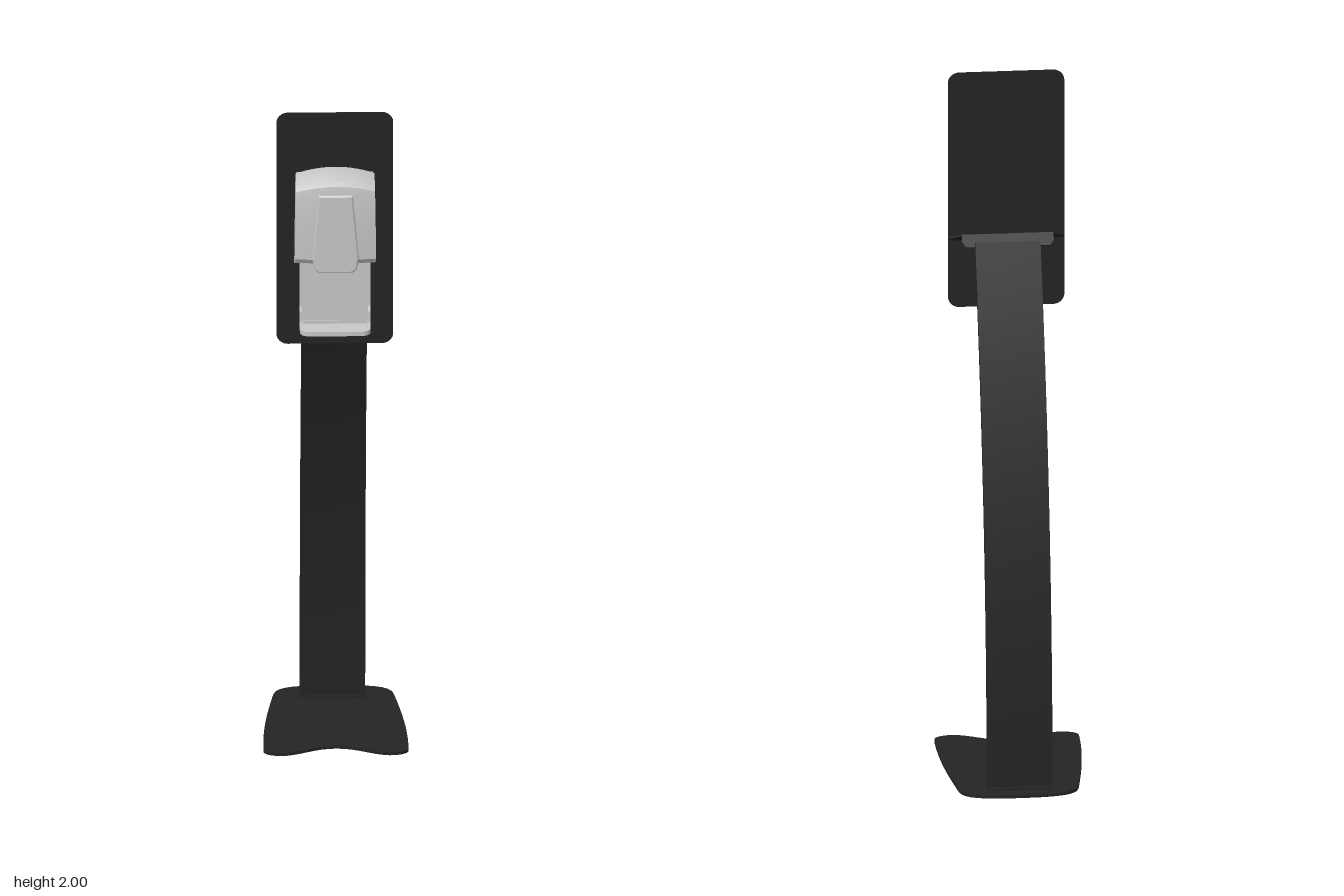
import * as THREE from 'three';
import { toCreasedNormals } from 'three/addons/utils/BufferGeometryUtils.js';

const CX = -0.005; // the upper parts sit slightly off centre

export function createModel() {
  const model = new THREE.Group();
  model.name = 'dispenserStand';
  const black = new THREE.MeshStandardMaterial({ name: 'blackSteel', color: 0x242424 });
  const grey = new THREE.MeshStandardMaterial({ name: 'lightGreyPlastic', color: 0xc8c8c8 });

  function add(name, geo, mat, x = 0, y = 0, z = 0, parent = model) {
    const mesh = new THREE.Mesh(geo, mat);
    mesh.name = name;
    mesh.position.set(x, y, z);
    parent.add(mesh);
    return mesh;
  }
  const toShape = (pts) => new THREE.Shape(pts.map(([a, b]) => new THREE.Vector2(a, b)));
  const extrude = (shape, depth, opts = {}) =>
    new THREE.ExtrudeGeometry(shape, { depth, bevelEnabled: false, curveSegments: 8, ...opts });

  // Side profile in (z, y), extruded across x and centred
  function acrossX(pts, width, steps = 1) {
    return extrude(toShape(pts), width, { steps }).rotateY(-Math.PI / 2).translate(width / 2, 0, 0);
  }
  function roundedRect(w, h, r) {
    const s = new THREE.Shape();
    const a = w / 2 - r, b = h / 2 - r;
    s.absarc(a, b, r, 0, Math.PI / 2);
    s.absarc(-a, b, r, Math.PI / 2, Math.PI);
    s.absarc(-a, -b, r, Math.PI, Math.PI * 1.5);
    s.absarc(a, -b, r, Math.PI * 1.5, Math.PI * 2);
    return s;
  }
  // Mirrored outline from its right half, bottom to top
  const mirrored = (half) => toShape([...half, ...half.map(([x, y]) => [-x, y]).reverse()]);

  // Floor plate: tapered to the back, concave front edge
  const base = new THREE.Shape();
  base.moveTo(0, -0.105);
  base.bezierCurveTo(0.06, -0.105, 0.1, -0.15, 0.15, -0.155);
  base.bezierCurveTo(0.185, -0.155, 0.208, -0.14, 0.205, -0.12);
  base.bezierCurveTo(0.205, 0.02, 0.19, 0.13, 0.172, 0.25);
  base.bezierCurveTo(0.165, 0.3, 0.15, 0.325, 0, 0.325);
  base.bezierCurveTo(-0.15, 0.325, -0.165, 0.3, -0.172, 0.25);
  base.bezierCurveTo(-0.19, 0.13, -0.205, 0.02, -0.205, -0.12);
  base.bezierCurveTo(-0.208, -0.14, -0.185, -0.155, -0.15, -0.155);
  base.bezierCurveTo(-0.1, -0.15, -0.06, -0.105, 0, -0.105);
  add('floorPlate', toCreasedNormals(extrude(base, 0.009).rotateX(-Math.PI / 2), 0.6), black);
  add('columnFoot', new THREE.BoxGeometry(0.185, 0.004, 0.05), black, CX + 0.002, 0.011, -0.26);

  // Curved column: a circular arc leaning forward
  const R = 3.146, T = 0.011, top = 0.5, N = 13;
  const arc = (r) => Array.from({ length: N + 1 }, (_, i) => {
    const a = (top * i) / N;
    return [2.89 - r * Math.cos(a), r * Math.sin(a)];
  });
  const column = acrossX([...arc(R - T), ...arc(R + T).reverse()], 0.185);
  add('column', toCreasedNormals(column, 0.3), black, CX + 0.002);

  // Bent bracket between column and panel: each plate runs from (z, y) to (z, y)
  const bracket = new THREE.Group();
  bracket.name = 'bracket';
  bracket.position.x = CX;
  model.add(bracket);
  function plate(name, half, [z0, y0], [z1, y1]) {
    const len = Math.hypot(z1 - z0, y1 - y0);
    const geo = extrude(mirrored(half.map(([x, t]) => [x, t * len])), 0.004)
      .translate(0, 0, -0.002)
      .rotateX(Math.atan2(z1 - z0, y1 - y0));
    add(name, geo, black, 0, y0, z0, bracket);
  }
  plate('bracketRear', [[0.12, 0], [0.13, 0.4], [0.13, 1]], [0.127, 1.497], [0.152, 1.525]);
  plate('bracketTop',
    [[0.13, 0], [0.162, 0.55], [0.162, 1], [0.132, 1], [0.125, 0.82], [0.086, 0.82], [0.072, 1]],
    [0.152, 1.525], [0.191, 1.497]);
  plate('bracketLip', [[0.07, 0], [0.07, 1]], [0.191, 1.497], [0.179, 1.473]);

  // Tall back panel
  add('backPanel', toCreasedNormals(extrude(roundedRect(0.33, 0.71, 0.032), 0.004), 0.6),
    black, CX, 1.645, 0.198);

  // Dispenser
  const unit = new THREE.Group();
  unit.name = 'dispenser';
  unit.position.x = CX;
  model.add(unit);

  // Cover: side profile bowed forward and arched on top
  const cover = acrossX([
    [0.209, 1.543], [0.303, 1.58], [0.313, 1.595], [0.316, 1.7], [0.312, 1.8],
    [0.309, 1.818], [0.298, 1.828], [0.24, 1.842], [0.209, 1.837],
  ], 0.23, 14);
  const p = cover.attributes.position;
  for (let i = 0; i < p.count; i++) {
    const x = p.getX(i), y = p.getY(i), z = p.getZ(i);
    const k = (x / 0.115) ** 2;
    const up = Math.max(0, (y - 1.6) / 0.24);
    p.setXYZ(i, x * (1 - 0.03 * up), y - 0.02 * k * up, z > 0.25 ? z - 0.007 * k : z);
  }
  add('cover', toCreasedNormals(cover, 0.5), grey, 0, 0, 0, unit);
  add('coverBack', new THREE.BoxGeometry(0.216, 0.275, 0.01), grey, 0, 1.6805, 0.206, unit);

  // Raised tapered panel on the cover front, ending in a tab
  const front = mirrored([[0.048, 1.562], [0.056, 1.57], [0.062, 1.6], [0.045, 1.79]]);
  add('coverFrontPanel', extrude(front, 0.008, {
    bevelEnabled: true, bevelThickness: 0.004, bevelSize: 0.004, bevelSegments: 1,
  }), grey, 0, 0, 0.309, unit);

  // Lower wall plate with side lips
  add('lowerPlate', new THREE.BoxGeometry(0.2, 0.2, 0.008), grey, 0, 1.45, 0.206, unit);
  for (const s of [-1, 1]) {
    const lip = acrossX([[0.203, 1.35], [0.222, 1.35], [0.22, 1.395], [0.212, 1.41], [0.203, 1.41]], 0.006);
    add('sideLip', lip, grey, s * 0.097, 0, 0, unit);
  }

  // Drip tray: floor and raised rim with rounded front corners
  const trayOutline = (w, z0, z1, r) => {
    const s = new THREE.Shape();
    s.moveTo(-w, -z0);
    s.lineTo(-w, -z1 + r);
    s.quadraticCurveTo(-w, -z1, -w + r, -z1);
    s.lineTo(w - r, -z1);
    s.quadraticCurveTo(w, -z1, w, -z1 + r);
    s.lineTo(w, -z0);
    s.closePath();
    return s;
  };
  const rim = trayOutline(0.1, 0.204, 0.292, 0.03);
  rim.holes.push(trayOutline(0.092, 0.212, 0.284, 0.024));
  const flat = (shape, h) => toCreasedNormals(extrude(shape, h).rotateX(-Math.PI / 2), 0.6);
  add('trayFloor', flat(trayOutline(0.098, 0.204, 0.29, 0.029), 0.005), grey, 0, 1.35, 0, unit);
  add('trayRim', flat(rim, 0.013), grey, 0, 1.351, 0, unit);

  return model;
}
